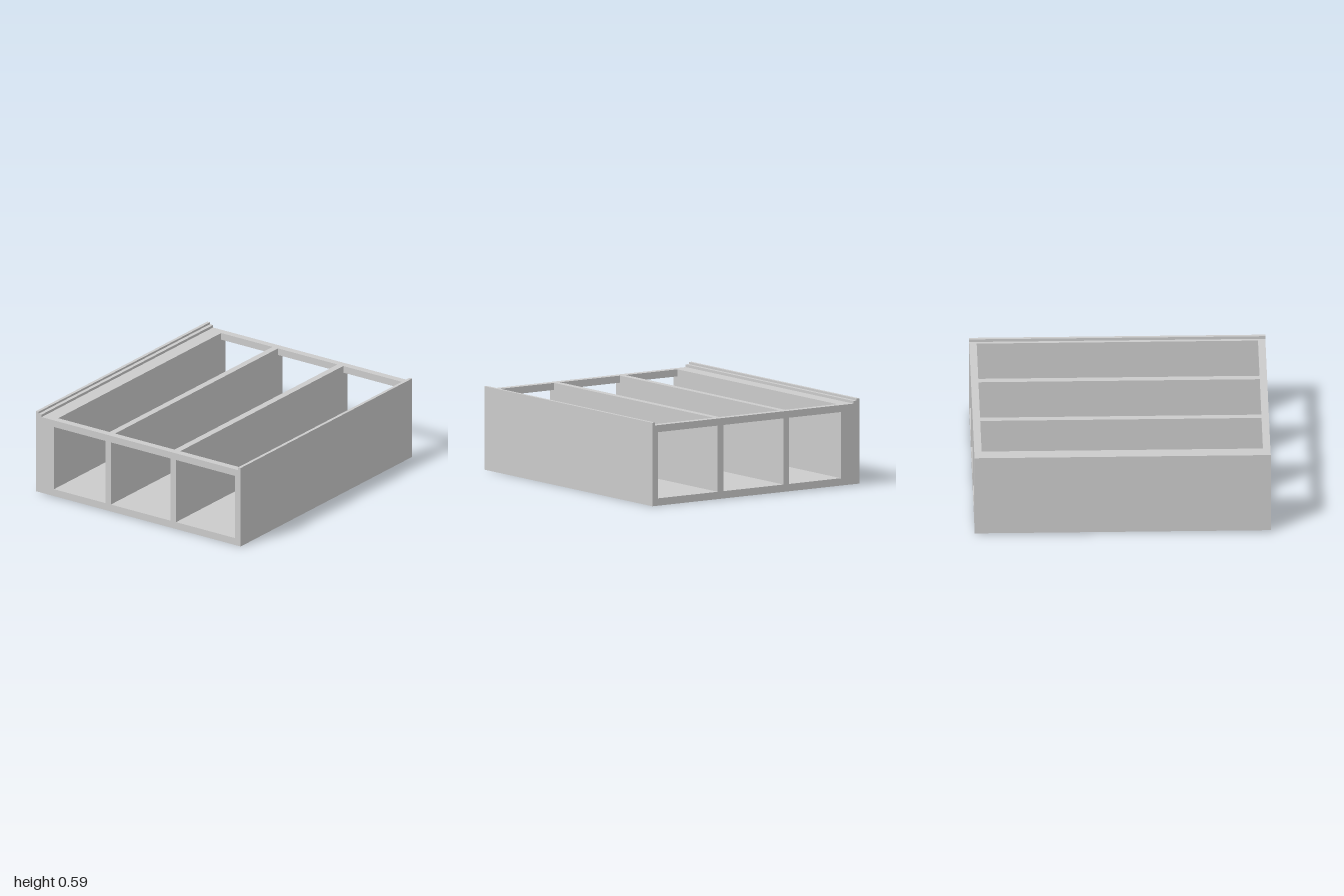
import * as THREE from 'three';

const material = new THREE.MeshStandardMaterial({ color: 0xcccccc, flatShading: true });

// The tray leans very slightly: it rises toward the back
const lean = (z) => 0.0058 * (0.848 - z);

// Extrudes a side profile of [z, y] points along x, from x0 to x1
function extrudeAlongX(name, profile, x0, x1) {
  const shape = new THREE.Shape(profile.map(([z, y]) => new THREE.Vector2(-z, y + lean(z))));
  const geometry = new THREE.ExtrudeGeometry(shape, { depth: x1 - x0, bevelEnabled: false });
  geometry.rotateY(Math.PI / 2).translate(x0, 0, 0);
  const mesh = new THREE.Mesh(geometry, material);
  mesh.name = name;
  return mesh;
}

export function createModel() {
  const group = new THREE.Group();
  group.name = 'dividedTray';

  const floor = 0.05, deck = 0.55, railBottom = 0.502;
  // Front and back edge of each compartment
  const bays = [[0.802, 0.313], [0.265, -0.227], [-0.273, -0.698]];

  // Floor, front wall with lip, dividers and thick back wall with stepped lip
  const profile = [[0.848, 0], [0.848, 0.57], [0.826, 0.57], [0.826, deck]];
  for (const [front, back] of bays) {
    profile.push([front, deck], [front, floor], [back, floor], [back, deck]);
  }
  profile.push([-0.8, deck], [-0.8, 0.568], [-0.826, 0.568], [-0.826, 0.582], [-0.848, 0.582], [-0.848, 0]);
  group.add(extrudeAlongX('trayBody', profile, -1, 1));

  // Rails closing the top of each compartment at both open ends
  for (const [front, back] of bays) {
    const rail = [[front, railBottom], [front, deck], [back, deck], [back, railBottom]];
    group.add(extrudeAlongX('leftEndRail', rail, 0.95, 1));
    group.add(extrudeAlongX('rightEndRail', rail, -1, -0.95));
  }
  return group;
}
